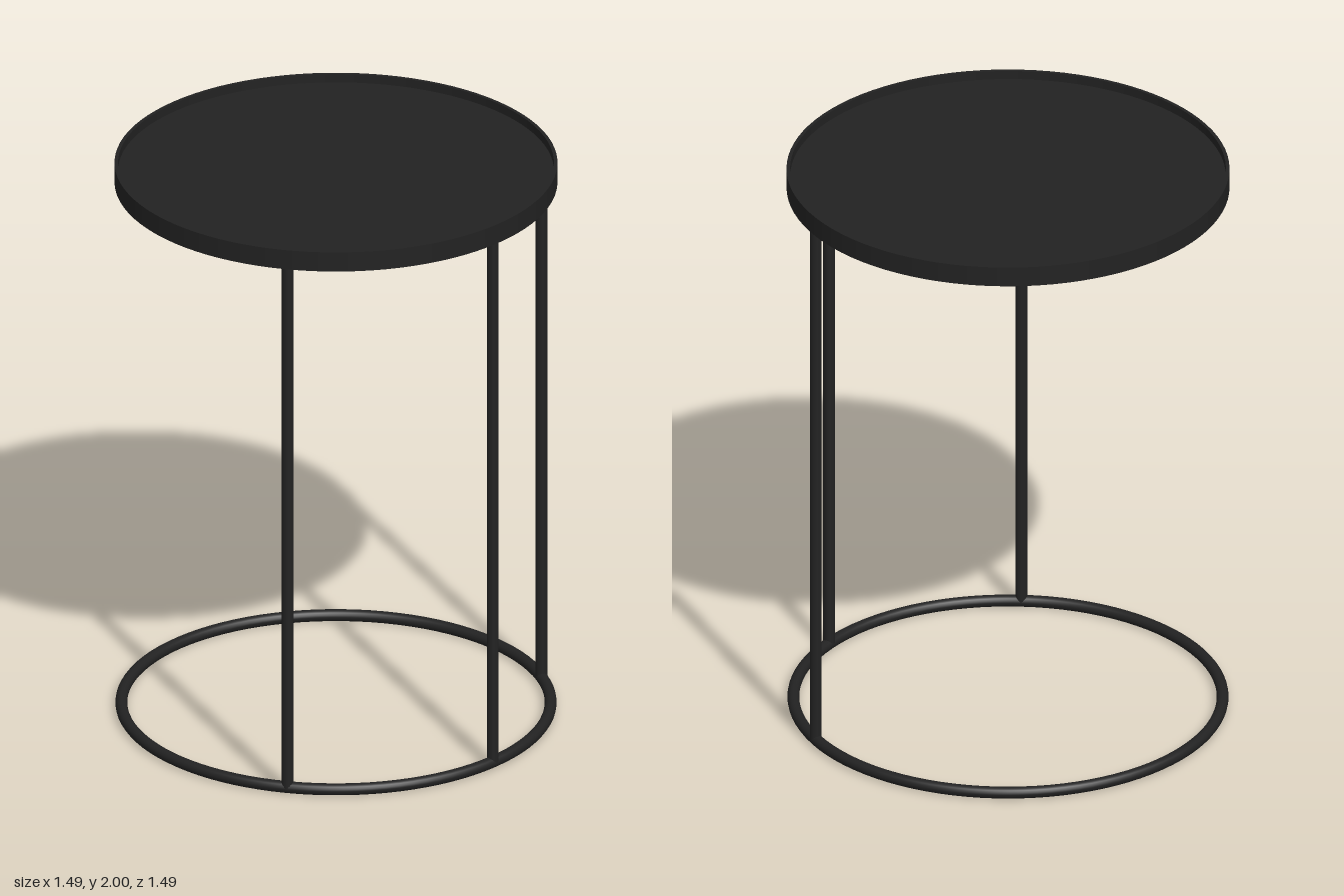
import * as THREE from 'three';

export function createModel() {
  const model = new THREE.Group();
  const material = new THREE.MeshStandardMaterial({ color: 0x222222 });
  const add = (name, geometry, x = 0, y = 0, z = 0) => {
    const mesh = new THREE.Mesh(geometry, material);
    mesh.name = name;
    mesh.position.set(x, y, z);
    model.add(mesh);
    return mesh;
  };

  // Tray top: each profile edge is its own lathe strip, so corners stay sharp
  const profile = [
    [0, 1.933], [0.69, 1.933], [0.69, 1.93], [0.743, 1.93],
    [0.743, 2], [0.731, 2], [0.731, 1.97], [0, 1.97],
  ].map(([r, y]) => new THREE.Vector2(r, y));
  const tray = new THREE.Group();
  tray.name = 'trayTop';
  for (let i = 0; i < profile.length - 1; i++) {
    const strip = new THREE.Mesh(new THREE.LatheGeometry([profile[i], profile[i + 1]], 96), material);
    strip.name = 'traySurface' + (i + 1);
    tray.add(strip);
  }
  model.add(tray);

  // Round tube ring on the floor
  const ringRadius = 0.72;
  const tube = 0.02;
  add('baseRing', new THREE.TorusGeometry(ringRadius, tube, 16, 96), 0, tube, 0).rotation.x = Math.PI / 2;

  // Three legs, sixty degrees apart, leaving the -x side open
  const bottom = 0.02, top = 1.935;
  [-30, 30, 90].forEach((degrees, i) => {
    const a = THREE.MathUtils.degToRad(degrees);
    add('leg' + (i + 1), new THREE.CylinderGeometry(tube, tube, top - bottom, 20),
      ringRadius * Math.cos(a), (top + bottom) / 2, ringRadius * Math.sin(a));
  });

  return model;
}
